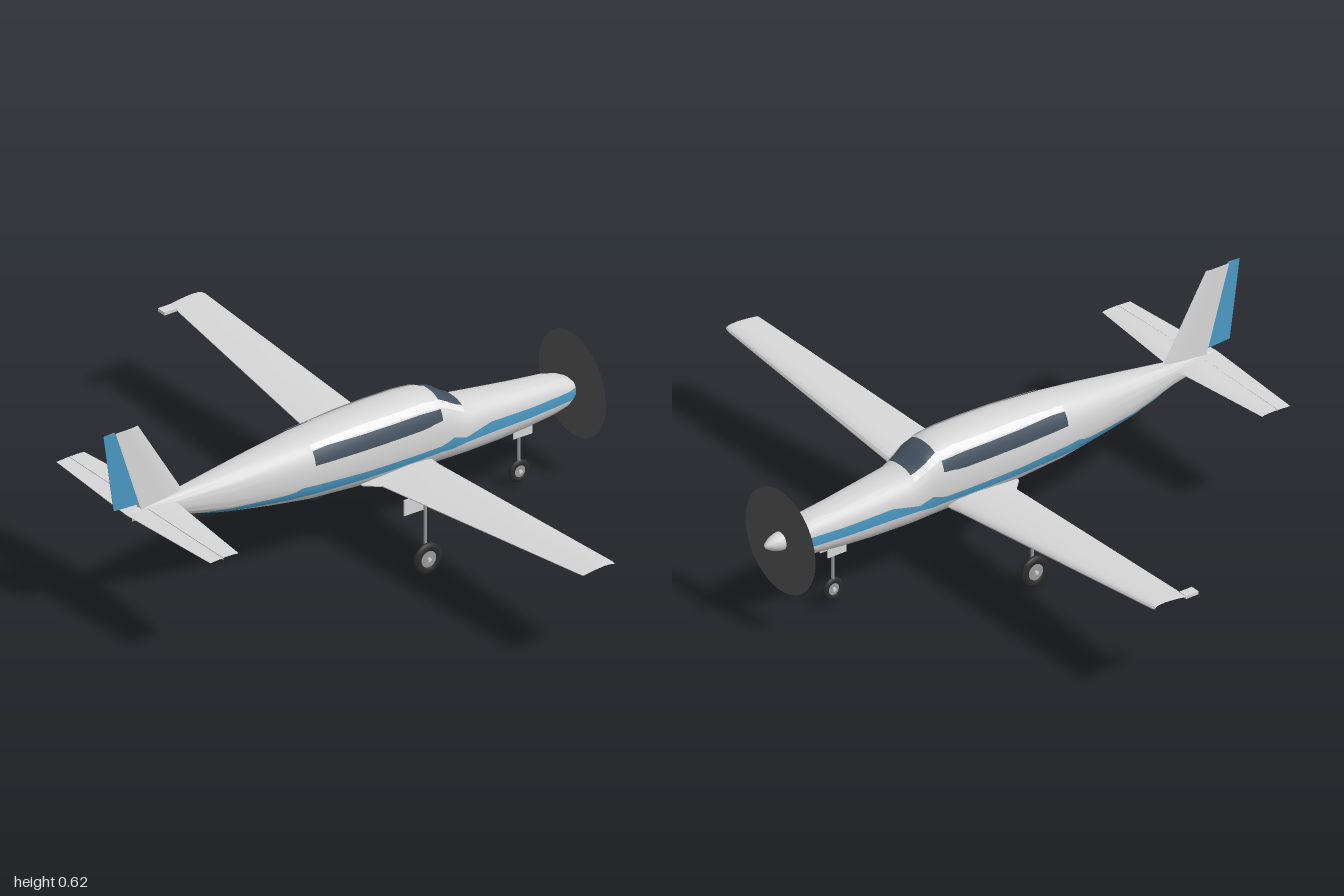
import * as THREE from 'three';
import { toCreasedNormals } from 'three/addons/utils/BufferGeometryUtils.js';

const paint = (name, color, side = THREE.FrontSide) =>
  Object.assign(new THREE.MeshStandardMaterial({ color, side }), { name });

// Fuselage stations: x, bottom, top, half width
const STATIONS = [
  [-0.755, 0.318, 0.352, 0.008], [-0.6, 0.297, 0.365, 0.028], [-0.44, 0.257, 0.384, 0.055],
  [-0.3, 0.234, 0.401, 0.074], [-0.17, 0.216, 0.415, 0.088], [0, 0.204, 0.427, 0.095],
  [0.1, 0.2, 0.43, 0.096], [0.2, 0.197, 0.43, 0.095], [0.26, 0.195, 0.425, 0.092],
  [0.31, 0.194, 0.406, 0.089], [0.345, 0.193, 0.38, 0.086], [0.38, 0.193, 0.362, 0.083],
  [0.5, 0.193, 0.347, 0.073], [0.6, 0.198, 0.335, 0.064], [0.7, 0.207, 0.325, 0.056],
  [0.75, 0.219, 0.312, 0.05], [0.775, 0.236, 0.299, 0.039], [0.788, 0.255, 0.285, 0.02],
];
const POWER = 2.5;

function stationAt(x) {
  let i = 0;
  while (i < STATIONS.length - 2 && STATIONS[i + 1][0] < x) i++;
  const a = STATIONS[i], b = STATIONS[i + 1], t = (x - a[0]) / (b[0] - a[0]);
  const [lo, hi, w] = [1, 2, 3].map(k => a[k] + (b[k] - a[k]) * t);
  return { yc: (lo + hi) / 2, h: (hi - lo) / 2, w };
}
const superRoot = r => Math.pow(Math.max(0, 1 - Math.pow(Math.min(1, Math.abs(r)), POWER)), 1 / POWER);

function gridGeometry(points, index) {
  const g = new THREE.BufferGeometry();
  g.setAttribute('position', new THREE.Float32BufferAttribute(points.flat(), 3));
  g.setIndex(index);
  g.computeVertexNormals();
  return g;
}

// Joins closed rings of points and caps both ends
function loft(rings, crease = 0.7) {
  const n = rings[0].length, points = rings.flat(), index = [];
  for (let i = 0; i < rings.length - 1; i++) {
    for (let j = 0; j < n; j++) {
      const k = (j + 1) % n, a = i * n + j, d = i * n + k;
      index.push(a, a + n, d + n, a, d + n, d);
    }
  }
  const last = (rings.length - 1) * n;
  for (const [start, flip] of [[0, true], [last, false]]) {
    const c = points.length;
    points.push([0, 1, 2].map(k => points.slice(start, start + n).reduce((s, p) => s + p[k], 0) / n));
    for (let j = 0; j < n; j++) {
      const a = start + j, b = start + (j + 1) % n;
      index.push(c, ...(flip ? [b, a] : [a, b]));
    }
  }
  return toCreasedNormals(gridGeometry(points, index), crease);
}

// Thin sheet sampled from f(u, v)
function sheet(f, nu, nv) {
  const points = [], index = [];
  for (let i = 0; i <= nu; i++) for (let j = 0; j <= nv; j++) points.push(f(i / nu, j / nv));
  for (let i = 0; i < nu; i++) for (let j = 0; j < nv; j++) {
    const a = i * (nv + 1) + j, b = a + nv + 1;
    index.push(a, b, b + 1, a, b + 1, a + 1);
  }
  return gridGeometry(points, index);
}

// Painted band on a fuselage side; edges are [x, low, high]
function sideBand(edges, side) {
  const x0 = edges[0][0], x1 = edges[edges.length - 1][0];
  return sheet((u, v) => {
    const x = x0 + (x1 - x0) * u;
    let i = 0;
    while (i < edges.length - 2 && edges[i + 1][0] < x) i++;
    const a = edges[i], b = edges[i + 1], t = (x - a[0]) / (b[0] - a[0]);
    const lo = a[1] + (b[1] - a[1]) * t, hi = a[2] + (b[2] - a[2]) * t;
    const y = lo + (hi - lo) * (side > 0 ? v : 1 - v), s = stationAt(x);
    return [x, y + (y > s.yc + 0.04 ? 0.002 : 0), side * (s.w * superRoot((y - s.yc) / s.h) + 0.003)];
  }, 60, 6);
}

// Unit sections: u runs from trailing (0) to leading (1) edge
const AIRFOIL = [[1, 0], [0.97, 0.26], [0.88, 0.42], [0.65, 0.5], [0.35, 0.34], [0, 0.04],
  [0, -0.04], [0.35, -0.3], [0.65, -0.44], [0.88, -0.38], [0.97, -0.24]];
const FIXED = [[1, 0], [0.85, 0.35], [0.5, 0.5], [0, 0.5], [0, -0.5], [0.5, -0.5], [0.85, -0.35]];
const HINGED = [[1, -0.5], [1, 0.5], [0, 0.08], [0, -0.08]];
const flat = (sec, z, y, x0, x1, t) => sec.map(([u, v]) => [x0 + (x1 - x0) * u, y + v * t, z]);
const upright = (sec, y, x0, x1, t) => sec.map(([u, v]) => [x0 + (x1 - x0) * u, y, v * t]);

export function createModel() {
  const body = paint('body grey white', 0xd6d6d6);
  const trim = paint('white trim', 0xf4f4f4, THREE.DoubleSide);
  const blue = paint('blue', 0x4a9ac4, THREE.DoubleSide);
  const glass = paint('dark glass', 0x43515f, THREE.DoubleSide);
  const disc = paint('propeller grey', 0x505050, THREE.DoubleSide);
  const tyre = paint('tyre black', 0x2b2b2b);
  const metal = paint('metal grey', 0x9a9a9a);

  const model = new THREE.Group();
  model.name = 'airplane';
  const add = (name, geometry, material, x = 0, y = 0, z = 0, parent = model) => {
    const m = new THREE.Mesh(geometry, material);
    m.name = name;
    m.position.set(x, y, z);
    parent.add(m);
    return m;
  };

  // Fuselage
  const rings = STATIONS.map(([x]) => {
    const { yc, h, w } = stationAt(x);
    return Array.from({ length: 48 }, (_, j) => {
      const a = j / 48 * Math.PI * 2, c = Math.cos(a), s = Math.sin(a);
      const bulge = v => Math.sign(v) * Math.pow(Math.abs(v), 2 / POWER);
      return [x, yc + h * bulge(s), w * bulge(c)];
    });
  });
  add('fuselage', loft(rings, 0.9), body);

  // Side windows, roof trim and stripe
  for (const side of [1, -1]) {
    add('sideWindow', sideBand([[-0.17, 0.35, 0.388], [-0.12, 0.349, 0.392], [0.2, 0.35, 0.392], [0.275, 0.354, 0.386]], side), glass);
    add('roofTrim', sideBand([[-0.17, 0.392, 0.402], [0, 0.396, 0.413], [0.22, 0.396, 0.414],
      [0.28, 0.388, 0.406], [0.32, 0.368, 0.386], [0.365, 0.344, 0.358]], side), trim);
    add('stripe', sideBand([[-0.6, 0.286, 0.292], [-0.45, 0.27, 0.283], [-0.24, 0.256, 0.279], [-0.22, 0.256, 0.29],
      [0, 0.253, 0.279], [0.28, 0.255, 0.276], [0.31, 0.252, 0.291], [0.36, 0.257, 0.274],
      [0.45, 0.257, 0.292], [0.6, 0.252, 0.283], [0.77, 0.254, 0.283]], side), blue);
  }

  // Windscreen
  add('windscreen', sheet((u, v) => {
    const x = 0.28 + 0.085 * u, s = stationAt(x);
    const z = (0.5 - v) * 2 * (0.064 - 0.012 * u);
    return [x + 0.002, s.yc + s.h * superRoot(z / s.w) + 0.003, z];
  }, 16, 20), glass);

  // Wings
  add('wings', loft([[1, 0.307, 0.108, 0.22, 0.018], [0.985, 0.306, 0.105, 0.224, 0.022],
    [0.12, 0.231, 0.04, 0.245, 0.037], [0.08, 0.228, 0, 0.25, 0.04],
    [-0.08, 0.228, 0, 0.25, 0.04], [-0.12, 0.231, 0.04, 0.245, 0.037],
    [-0.985, 0.306, 0.105, 0.224, 0.022], [-1, 0.307, 0.108, 0.22, 0.018],
  ].map(s => flat(AIRFOIL, ...s))), body);
  add('wingTipTab', new THREE.BoxGeometry(0.045, 0.01, 0.032), body, 0.085, 0.304, -0.982);

  // Horizontal tail with elevator
  const tailSpan = [0.373, 0, -0.373];
  add('tailplane', loft(tailSpan.map(z => z ? flat(FIXED, z, 0.343, -0.7, -0.645, 0.007)
    : flat(FIXED, z, 0.343, -0.705, -0.607, 0.014))), body);
  add('elevator', loft(tailSpan.map(z => z ? flat(HINGED, z, 0.343, -0.745, -0.702, 0.006)
    : flat(HINGED, z, 0.343, -0.77, -0.706, 0.012))), body);

  // Fin and rudder
  add('fin', loft([upright(FIXED, 0.34, -0.722, -0.56, 0.018), upright(FIXED, 0.62, -0.81, -0.73, 0.008)]), body);
  add('rudder', loft([upright(HINGED, 0.37, -0.814, -0.731, 0.016), upright(HINGED, 0.62, -0.85, -0.81, 0.008)]), blue);

  // Propeller disc and spinner
  add('propellerDisc', new THREE.CircleGeometry(0.163, 48), disc, 0.792, 0.273).rotation.y = Math.PI / 2;
  const spinner = [[0.028, 0], [0.026, 0.015], [0.019, 0.035], [0.009, 0.052], [0, 0.058]]
    .map(p => new THREE.Vector2(...p));
  add('spinner', new THREE.LatheGeometry(spinner, 24), body, 0.792, 0.273).rotation.z = -Math.PI / 2;

  // Landing gear: wheel, hub, strut and door plates
  function gear(name, x, y, z, radius, width, top, doors) {
    const g = new THREE.Group();
    g.name = name;
    g.position.set(x, 0, z);
    model.add(g);
    const tube = radius * 0.28;
    add('tyre', new THREE.TorusGeometry(radius - tube, tube, 12, 32), tyre, 0, y, 0, g).scale.z = width / (2 * tube);
    add('hub', new THREE.CylinderGeometry(radius * 0.52, radius * 0.52, width * 0.7, 24), metal, 0, y, 0, g).rotation.x = Math.PI / 2;
    add('axle', new THREE.CylinderGeometry(0.006, 0.006, width + 0.006, 12), body, 0, y, 0, g).rotation.x = Math.PI / 2;
    const strutZ = z ? -Math.sign(z) * (width / 2 + 0.001) : 0;
    add('strut', new THREE.CylinderGeometry(0.005, 0.005, top - y, 12), metal, 0, (top + y) / 2, strutZ, g);
    for (const dz of doors) add('gearDoor', new THREE.BoxGeometry(z ? 0.08 : 0.066, z ? 0.05 : 0.035, 0.004), body, 0, z ? 0.197 : 0.187, dz, g);
  }
  for (const side of [1, -1]) gear('mainGear', 0.09, 0.049, side * 0.269, 0.049, 0.02, 0.235, [-side * 0.059]);
  gear('noseGear', 0.605, 0.051, 0, 0.035, 0.016, 0.21, [0.018, -0.018]);

  return model;
}
